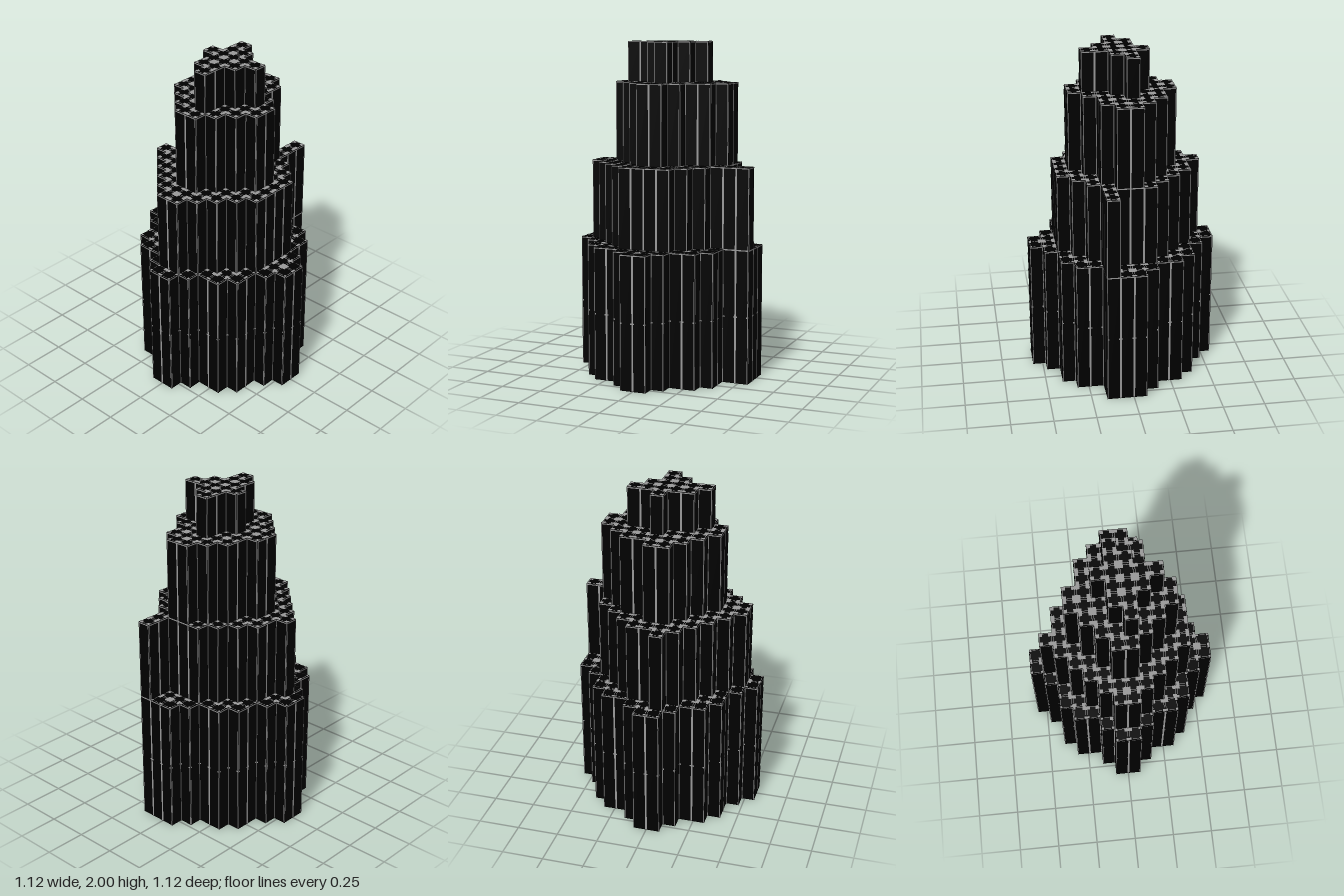
import * as THREE from 'three';

const CELL = 0.08;   // width of one square column
const LIFT = 0.0015; // how far the trim sits off the dark surface

// Each tier: height range and, row by row from the back, [first, last) column in cells
const TIERS = [
  { name: 'baseTier', y0: 0, y1: 0.8, z: -7, rows: [[-1, 2], [-2, 2], [-4, 4], [-5, 5], [-5, 5], [-6, 6], [-7, 7],
    [-7, 7], [-6, 6], [-5, 5], [-5, 5], [-4, 4], [-2, 2], [-1, 1]] },
  { name: 'lowerTier', y0: 0.8, y1: 1.28, z: -7, rows: [[1, 2], [1, 2], [-2, 2], [-3, 3], [-4, 4], [-5, 5], [-5, 5],
    [-6, 5], [-5, 5], [-4, 4], [-3, 3], [-2, 2], [-1, 1]] },
  { name: 'upperTier', y0: 1.28, y1: 1.76, z: -5, rows: [[-1, 1], [-2, 2], [-3, 2], [-3, 3], [-4, 4], [-4, 4], [-3, 3],
    [-2, 2], [-1, 1]] },
  { name: 'topTier', y0: 1.76, y1: 2, z: -3, rows: [[-1, 0], [-1, 1], [-2, 3], [-1, 2], [-1, 1], [0, 1]] },
];

function has(tier, i, k) {
  const row = tier && tier.rows[k - tier.z];
  return !!row && i >= row[0] && i < row[1];
}

// Adds a rectangle at o spanned by u and v; it faces u x v
function quad(out, o, u, v) {
  const a = o.clone().add(u), b = a.clone().add(v), c = o.clone().add(v);
  for (const p of [o, a, b, o, b, c]) out.push(p.x, p.y, p.z);
}

function toMesh(points, material, name) {
  const geo = new THREE.BufferGeometry();
  geo.setAttribute('position', new THREE.Float32BufferAttribute(points, 3));
  geo.computeVertexNormals();
  const mesh = new THREE.Mesh(geo, material);
  mesh.name = name;
  return mesh;
}

export function createModel() {
  const dark = new THREE.MeshStandardMaterial({ color: 0x000000, side: THREE.DoubleSide });
  dark.name = 'black';
  const grey = new THREE.MeshStandardMaterial({ color: 0x9a9a9a });
  grey.name = 'grey';
  const V = (x, y, z) => new THREE.Vector3(x, y, z);
  const UP = V(0, 1, 0);
  const model = new THREE.Group();
  model.name = 'steppedTower';

  TIERS.forEach((tier, t) => {
    const body = [], trim = [];
    const above = TIERS[t + 1], below = TIERS[t - 1];
    const h = tier.y1 - tier.y0;

    // Trim rectangle on a top face
    const topPlate = (x, z, w, d) =>
      quad(trim, V(x, tier.y1 + LIFT, z), V(0, 0, d), V(w, 0, 0));

    tier.rows.forEach(([first, last], r) => {
      const k = tier.z + r;
      for (let i = first; i < last; i++) {
        const x = i * CELL, z = k * CELL;

        // Top of the column, and the underside where it overhangs
        quad(body, V(x, tier.y1, z), V(0, 0, CELL), V(CELL, 0, 0));
        if (below && !has(below, i, k)) quad(body, V(x, tier.y0, z), V(CELL, 0, 0), V(0, 0, CELL));

        // Corner squares and a thin line inside each edge on exposed tops
        if (!has(above, i, k)) {
          const big = 0.023, e = 0.003, inset = 0.004, m = CELL - 2 * big;
          for (const a of [-1, 1]) for (const b of [-1, 1]) {
            // Outer corners of the base carry smaller squares
            const outer = t === 0 && !(has(tier, i + a, k) && has(tier, i, k + b));
            const s = outer ? 0.015 : big;
            topPlate(a < 0 ? x : x + CELL - s, b < 0 ? z : z + CELL - s, s, s);
          }
          for (const a of [inset, CELL - inset - e]) {
            topPlate(x + a, z + big, e, m);
            topPlate(x + big, z + a, m, e);
          }
        }

        // Outer walls with lines along their edges
        for (const [dx, dz] of [[1, 0], [-1, 0], [0, 1], [0, -1]]) {
          if (has(tier, i + dx, k + dz)) continue;
          const n = V(dx, 0, dz), along = V(dz, 0, -dx);
          const o = V(x + CELL / 2, tier.y0, z + CELL / 2)
            .addScaledVector(n, CELL / 2).addScaledVector(along, -CELL / 2);
          quad(body, o, along.clone().multiplyScalar(CELL), V(0, h, 0));

          // The hollow base carries the lines on its inside too
          const sides = t === 0 ? [1, -1] : [1];
          const strip = (a, y, w, d) => sides.forEach((side) => quad(trim,
            o.clone().addScaledVector(n, LIFT * side).addScaledVector(along, side > 0 ? a : a + w).addScaledVector(UP, y),
            along.clone().multiplyScalar(w * side), V(0, d, 0)));
          const e = 0.0055, rim = 0.007;
          strip(0, 0, e, h);
          strip(CELL - e, 0, e, h);
          strip(e, h - rim, CELL - 2 * e, rim);
          // Small marks at the joint halfway up the base
          if (t === 0) {
            strip(e, h / 2 - 0.004, 0.007, 0.008);
            strip(CELL - e - 0.007, h / 2 - 0.004, 0.007, 0.008);
          }
        }
      }
    });

    const group = new THREE.Group();
    group.name = tier.name;
    group.add(toMesh(body, dark, tier.name + 'Columns'), toMesh(trim, grey, tier.name + 'Trim'));
    model.add(group);
  });
  return model;
}
